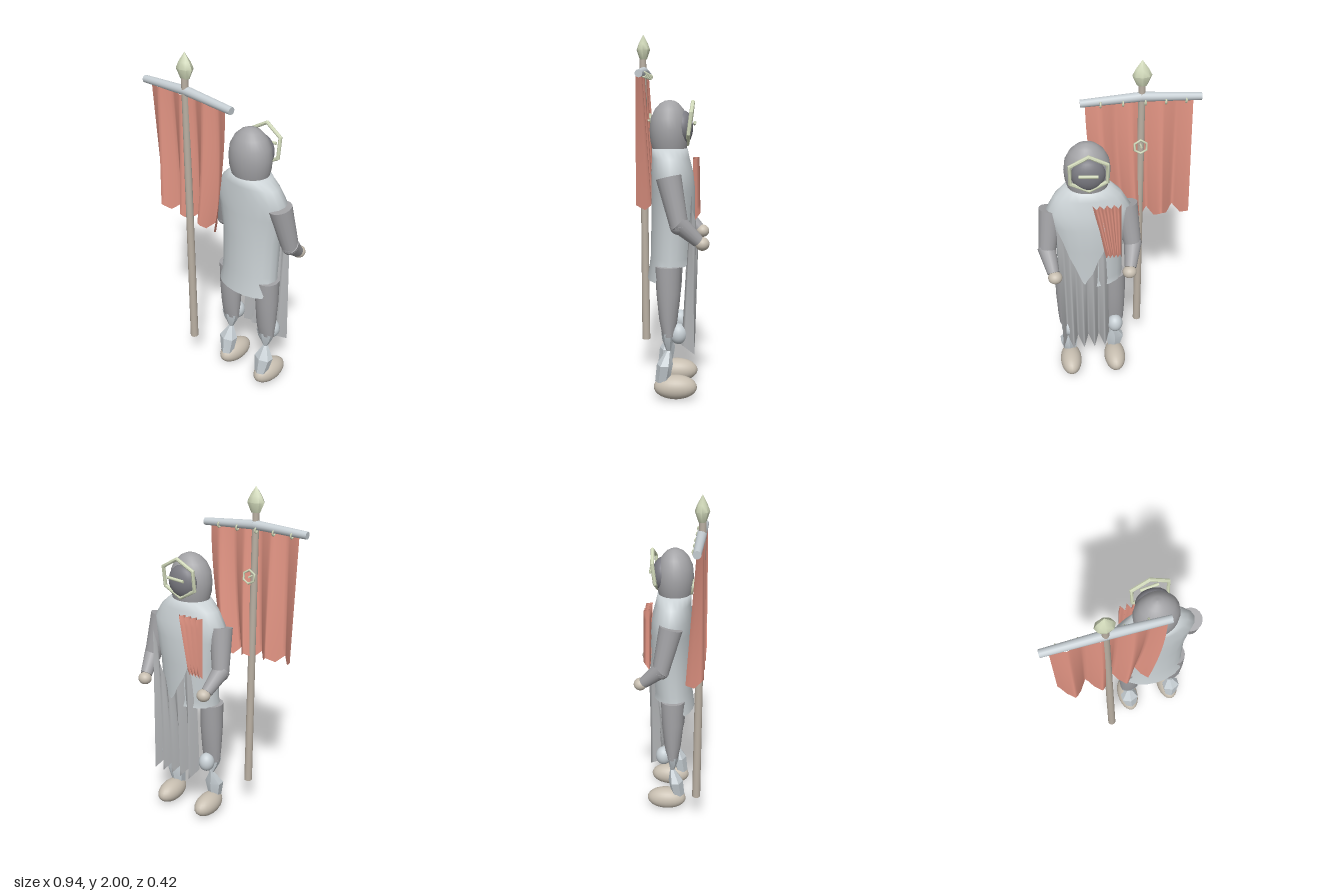
import * as THREE from 'three';
import { toCreasedNormals } from 'three/addons/utils/BufferGeometryUtils.js';

const V = (x, y, z) => new THREE.Vector3(x, y, z);

function material(name, color) {
  const m = new THREE.MeshStandardMaterial({ color, side: THREE.DoubleSide });
  m.name = name;
  return m;
}

// Elliptical cross-sections [y, cx, cz, rx, rz], listed bottom to top
function loft(sections, segs) {
  const pos = [], idx = [];
  sections.forEach(([y, cx, cz, rx, rz], j) => {
    for (let i = 0; i < segs; i++) {
      const a = (i / segs) * Math.PI * 2;
      pos.push(cx + Math.sin(a) * rx, y, cz + Math.cos(a) * rz);
      if (j === sections.length - 1) continue;
      const p = j * segs + i, q = j * segs + (i + 1) % segs;
      idx.push(p, q, p + segs, q, q + segs, p + segs);
    }
  });
  return build(pos, idx);
}

// Cloth sheet: point(u, v) gives a position, v = 0 at the top
function sheet(nu, nv, point) {
  const pos = [], idx = [];
  for (let j = 0; j <= nv; j++) for (let i = 0; i <= nu; i++) {
    pos.push(...point(i / nu, j / nv));
    if (i === nu || j === nv) continue;
    const a = j * (nu + 1) + i, b = a + nu + 1;
    idx.push(a, b, a + 1, b, b + 1, a + 1);
  }
  return build(pos, idx);
}

function build(pos, idx) {
  const g = new THREE.BufferGeometry();
  g.setAttribute('position', new THREE.Float32BufferAttribute(pos, 3));
  g.setIndex(idx);
  g.computeVertexNormals();
  return g;
}

// Tapered cylinder between two points
function rod(a, b, ra, rb, segs = 16) {
  const d = b.clone().sub(a), g = new THREE.CylinderGeometry(rb, ra, d.length(), segs);
  g.applyQuaternion(new THREE.Quaternion().setFromUnitVectors(V(0, 1, 0), d.normalize()));
  return g.translate(...a.clone().add(b).multiplyScalar(0.5).toArray());
}

const ball = (p, r) => new THREE.SphereGeometry(1, 24, 16).scale(...r).translate(...p);

// Triangle wave from -1 to 1 with period 1, peak at t = 0
const wave = t => 4 * Math.abs(t - Math.floor(t) - 0.5) - 1;

export function createModel() {
  const root = new THREE.Group();
  root.name = 'hoodedBannerBearer';
  const robeM = material('pale robe cloth', 0xcbd2d5);
  const hoodM = material('grey cloth', 0xa3a3a6);
  const faceM = material('dark face', 0x7b7b82);
  const capeM = material('cape cloth', 0xb4b6b8);
  const redM = material('terracotta cloth', 0xe39584);
  const woodM = material('pole wood', 0xbab0a3);
  const leatherM = material('boot leather', 0xc7beb0);
  const goldM = material('pale brass', 0xd1d9ba);
  const steelM = material('pale steel', 0xc6ced3);
  const add = (name, geo, mat, parent = root) => {
    const m = new THREE.Mesh(geo, mat);
    m.name = name;
    parent.add(m);
    return m;
  };
  const cx = 0.172;

  // Robe: hem hangs lower in front than at the sides
  const robe = loft([
    [0.655, cx, 0, 0.185, 0.125], [0.78, cx, -0.005, 0.185, 0.113], [1.0, cx, -0.015, 0.19, 0.12],
    [1.15, cx, -0.015, 0.218, 0.12], [1.24, cx, -0.01, 0.234, 0.115], [1.32, cx, -0.002, 0.185, 0.102],
    [1.368, cx, 0.003, 0.13, 0.097], [1.39, cx, 0.003, 0.001, 0.001],
  ], 20);
  const rp = robe.attributes.position;
  for (let i = 0; i < 20; i++) {
    if (rp.getZ(i) < 0.07) rp.setY(i, 0.74);
    else rp.setX(i, cx + (rp.getX(i) - cx) * 1.1);
  }
  robe.computeVertexNormals();
  add('robe', robe, robeM);

  // Hood, face and brow ring look toward the back (-z)
  const hood = loft([
    [1.36, cx, 0.005, 0.108, 0.092], [1.41, cx, 0.006, 0.122, 0.103], [1.47, cx, 0.007, 0.127, 0.106],
    [1.53, cx, 0.007, 0.119, 0.1], [1.58, cx, 0.006, 0.093, 0.078], [1.612, cx, 0.005, 0.058, 0.05],
    [1.625, cx, 0.004, 0.03, 0.026], [1.629, cx, 0.003, 0.001, 0.001],
  ], 28);
  add('hood', hood, hoodM);
  add('face', ball([cx, 1.48, -0.068], [0.092, 0.095, 0.055]), faceM);
  const ring = add('hoodRing', toCreasedNormals(new THREE.TorusGeometry(0.115, 0.011, 8, 6), 0.6), goldM);
  ring.position.set(cx, 1.505, -0.107);
  ring.rotation.set(-0.13, 0, Math.PI / 6);
  add('faceBar', rod(V(0.125, 1.5, -0.13), V(0.228, 1.51, -0.134), 0.009, 0.009, 8), goldM);

  // Arms and legs, mirrored about the body centre
  for (const s of [1, -1]) {
    const side = s > 0 ? 'left' : 'right';
    const P = (dx, y, z) => V(cx + s * dx, y, z);
    const arm = new THREE.Group(), leg = new THREE.Group();
    arm.name = side + 'Arm';
    leg.name = side + 'Leg';
    root.add(arm, leg);
    add('upperArm', rod(P(0.245, 0.97, -0.058), P(0.208, 1.23, 0), 0.048, 0.067), hoodM, arm);
    add('elbow', ball(P(0.243, 0.98, -0.053).toArray(), [0.047, 0.047, 0.047]), hoodM, arm);
    add('forearm', rod(P(0.246, 1.0, -0.045), P(0.218, 0.895, -0.155), 0.052, 0.034), hoodM, arm);
    add('hand', ball(P(0.21, 0.88, -0.177).toArray(), [0.04, 0.036, 0.038]), leatherM, arm);

    const x = cx + s * 0.14;
    add('thigh', toCreasedNormals(loft([
      [0.36, x, 0.004, 0.001, 0.001], [0.362, x, 0.004, 0.055, 0.034], [0.45, x, 0.005, 0.062, 0.05],
      [0.6, x, 0.005, 0.068, 0.065], [0.744, x + s * 0.002, 0.005, 0.066, 0.07], [0.746, x, 0.005, 0.001, 0.001],
    ], 20), 0.9), hoodM, leg);
    add('kneeGuard', ball([x, 0.37, -0.05], [0.047, 0.057, 0.048]), steelM, leg);
    add('shin', toCreasedNormals(loft([
      [0.1, x, 0.038, 0.04, 0.04], [0.2, x + s * 0.005, 0.024, 0.06, 0.044], [0.275, x, 0.003, 0.014, 0.014],
      [0.335, x, 0.008, 0.048, 0.03], [0.38, x, 0.008, 0.063, 0.036],
    ], 6), 0.4), steelM, leg);
    add('boot', ball([x, 0.068, -0.033], [0.066, 0.067, 0.119]), leatherM, leg);
  }

  // Cape: split at the top, broad pleats closing in on the legs, ragged hem
  add('cape', sheet(36, 12, (u, v) => {
    const e = 2 * u - 1;
    const top = 0.78 + 0.39 * Math.pow(Math.abs(e), 1.1) - (u < 0.5 ? -0.1 * e : 0);
    const hem = 0.29 + 0.022 * wave(u * 4.5);
    return [
      0.072 + 0.285 * u,
      top + (hem - top) * v,
      -0.145 + 0.043 * v + 0.035 * e * e * (1 - v) + (0.009 + 0.027 * v) * wave(u * 4.5),
    ];
  }), capeM);

  // Back scarf: narrow tapering pleats
  add('scarf', sheet(16, 6, (u, v) => [
    0.003 + 0.155 * u * (1 - 0.45 * v),
    1.31 - v * (0.335 + 0.025 * wave(u * 4)),
    -0.14 - 0.006 * v + 0.018 * wave(u * 4),
  ]), redM);

  // Banner: folds deepen toward the ragged hem
  add('bannerCloth', sheet(42, 14, (u, v) => {
    const x0 = -0.42 + 0.58 * u;
    const fold = wave((x0 + 0.335) / 0.167);
    const rag = 0.017 * wave(u * 7);
    return [
      x0 - v * v * 0.08 * u * u,
      1.77 + (1.05 - 0.025 * u + rag - 1.77) * v,
      0.174 - 0.018 * v + (0.016 + 0.032 * v) * fold,
    ];
  }), redM);

  // Pole, crossbar and spear-shaped finial
  add('pole', rod(V(-0.134, 0.2, 0.16), V(-0.143, 1.87, 0.173), 0.024, 0.019), woodM);
  add('crossbarRight', rod(V(-0.465, 1.778, 0.163), V(-0.14, 1.792, 0.168), 0.021, 0.026), steelM);
  add('crossbarLeft', rod(V(0.187, 1.77, 0.171), V(-0.14, 1.792, 0.168), 0.021, 0.026), steelM);
  const finial = new THREE.LatheGeometry([
    [0, 1.855], [0.028, 1.86], [0.053, 1.915], [0.036, 1.95], [0, 2],
  ].map(p => new THREE.Vector2(...p)), 8);
  finial.scale(1, 1, 0.74).translate(-0.143, 0, 0.17);
  add('finial', toCreasedNormals(finial, 0.8), goldM);

  // Tie loops on the bar and a small ring behind the pole
  for (const x of [-0.38, -0.27, -0.16, -0.04, 0.08]) {
    const tie = add('tieLoop', new THREE.TorusGeometry(0.014, 0.005, 6, 10), goldM);
    tie.position.set(x, 1.768, 0.15);
    tie.rotation.y = Math.PI / 2;
  }
  const badge = add('poleRing', new THREE.TorusGeometry(0.038, 0.007, 6, 6), goldM);
  badge.position.set(-0.135, 1.51, 0.126);
  badge.rotation.set(0.15, 0, Math.PI / 6);
  add('poleRingPin', rod(V(-0.138, 1.51, 0.118), V(-0.138, 1.51, 0.165), 0.006, 0.006, 6), goldM);

  return root;
}
